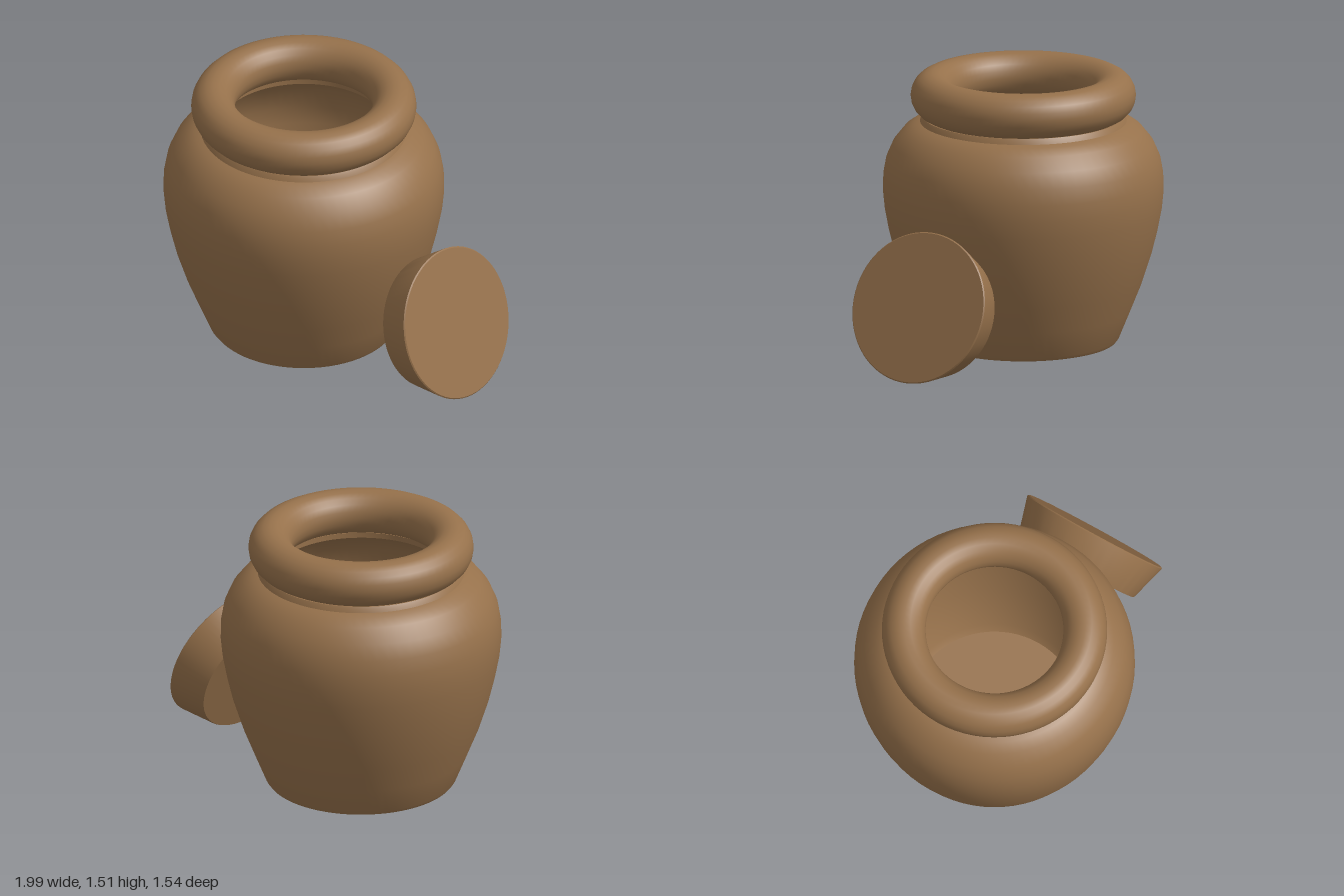
import * as THREE from 'three';
import { toCreasedNormals } from 'three/addons/utils/BufferGeometryUtils.js';

const SEGMENTS = 72;

// Revolve a list of [radius, height] points, keeping sharp corners crisp.
function turned(points, material, name) {
  const profile = points.map(([r, y]) => new THREE.Vector2(r, y));
  const geometry = toCreasedNormals(new THREE.LatheGeometry(profile, SEGMENTS), 0.6);
  const mesh = new THREE.Mesh(geometry, material);
  mesh.name = name;
  return mesh;
}

export function createModel() {
  const clay = new THREE.MeshStandardMaterial({ color: 0x96714b });
  clay.name = 'brown clay';

  const model = new THREE.Group();
  model.name = 'jarWithLid';

  const jar = new THREE.Group();
  jar.name = 'jar';
  jar.position.x = -0.23;
  model.add(jar);

  // Hollow body: base, outer wall, lip, inner wall, floor
  jar.add(turned([
    [0, 0.01], [0.495, 0.01], [0.512, 0.015], [0.527, 0.035],
    [0.59, 0.19], [0.65, 0.34], [0.705, 0.51], [0.737, 0.64], [0.76, 0.76],
    [0.77, 0.86], [0.768, 0.95], [0.752, 1.04], [0.715, 1.125], [0.655, 1.2],
    [0.6, 1.238], [0.567, 1.25], [0.557, 1.27], [0.55, 1.28],
    [0.47, 1.27], [0.47, 1.24], [0.56, 1.19], [0.64, 1.1], [0.69, 0.95],
    [0.69, 0.85], [0.66, 0.65], [0.6, 0.4], [0.5, 0.12], [0.47, 0.08], [0, 0.08],
  ], clay, 'body'));

  // Thick rounded rim
  const rim = new THREE.Mesh(new THREE.TorusGeometry(0.498, 0.12, 20, SEGMENTS), clay);
  rim.name = 'rim';
  rim.rotation.x = -Math.PI / 2;
  rim.position.y = 1.395;
  rim.scale.z = 1.04;
  jar.add(rim);

  // Tapered lid leaning against the jar
  const lid = turned([
    [0, -0.109], [0.358, -0.109], [0.362, -0.103],
    [0.418, 0.095], [0.42, 0.103], [0.414, 0.109], [0, 0.109],
  ], clay, 'lid');
  lid.position.set(0.752, 0.381, 0);
  lid.rotation.z = -1.226;
  model.add(lid);

  return model;
}
